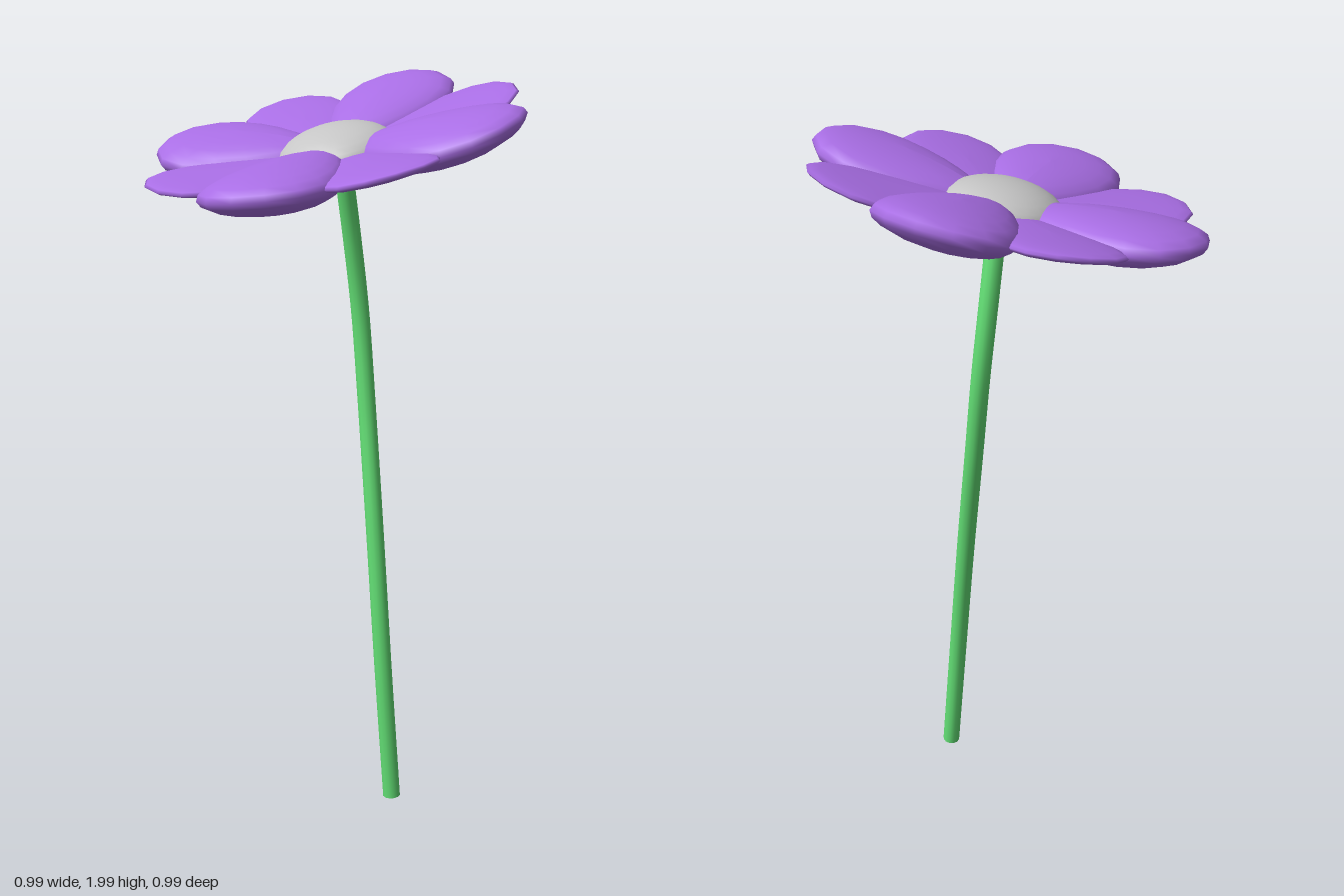
import * as THREE from 'three';

const purple = new THREE.MeshStandardMaterial({ color: 0xa96ee5 });
purple.name = 'petalPurple';
const green = new THREE.MeshStandardMaterial({ color: 0x62de74 });
green.name = 'stemGreen';
const grey = new THREE.MeshStandardMaterial({ color: 0xc6c6c6 });
grey.name = 'centreGrey';

// Egg-shaped petal along +x: narrow at the heart, broad at the tip, gently cupped
function petalGeometry(inner, outer, width, thickness) {
  const geo = new THREE.SphereGeometry(1, 16, 12);
  const p = geo.attributes.position;
  const mid = (inner + outer) / 2, half = (outer - inner) / 2;
  for (let i = 0; i < p.count; i++) {
    const s = p.getX(i);
    const r = mid + half * s;
    p.setXYZ(i, r, p.getY(i) * thickness + 0.2 * r * r, p.getZ(i) * width * (1 + 0.4 * s));
  }
  geo.computeVertexNormals();
  return geo;
}

function mesh(name, geo, mat) {
  const m = new THREE.Mesh(geo, mat);
  m.name = name;
  return m;
}

export function createModel() {
  const flower = new THREE.Group();
  flower.name = 'flower';

  // Tilted flower head
  const head = new THREE.Group();
  head.name = 'flowerHead';
  head.position.set(0.007, 1.825, -0.004);
  head.quaternion.setFromUnitVectors(
    new THREE.Vector3(0, 1, 0), new THREE.Vector3(-0.17, 1, 0.155).normalize());
  flower.add(head);

  const centre = mesh('flowerCentre', new THREE.SphereGeometry(1, 24, 14), grey);
  centre.scale.set(0.155, 0.072, 0.155);
  head.add(centre);

  // Four thick petals with four thinner ones between them
  const thick = petalGeometry(0.04, 0.513, 0.158, 0.06);
  const thin = petalGeometry(0.05, 0.498, 0.14, 0.024);
  for (let i = 0; i < 4; i++) {
    const a = mesh('thickPetal' + (i + 1), thick, purple);
    a.rotation.y = -(THREE.MathUtils.degToRad(14) + i * Math.PI / 2);
    const b = mesh('thinPetal' + (i + 1), thin, purple);
    b.rotation.y = -(THREE.MathUtils.degToRad(59.5) + i * Math.PI / 2);
    head.add(a, b);
  }

  // Curved stem
  const path = new THREE.CatmullRomCurve3([
    [0.19, 0, 0.072], [0.157, 0.4, 0.057], [0.119, 0.8, 0.012], [0.08, 1.15, -0.045],
    [0.055, 1.4, -0.067], [0.036, 1.6, -0.05], [0.02, 1.81, -0.005],
  ].map(v => new THREE.Vector3(...v)));
  flower.add(mesh('stem', new THREE.TubeGeometry(path, 32, 0.025, 12), green));

  // Flat cap closing the foot of the stem
  const foot = mesh('stemFoot', new THREE.CircleGeometry(0.025, 12), green);
  foot.position.copy(path.getPoint(0));
  foot.quaternion.setFromUnitVectors(new THREE.Vector3(0, 0, 1), path.getTangent(0).negate());
  flower.add(foot);

  return flower;
}
